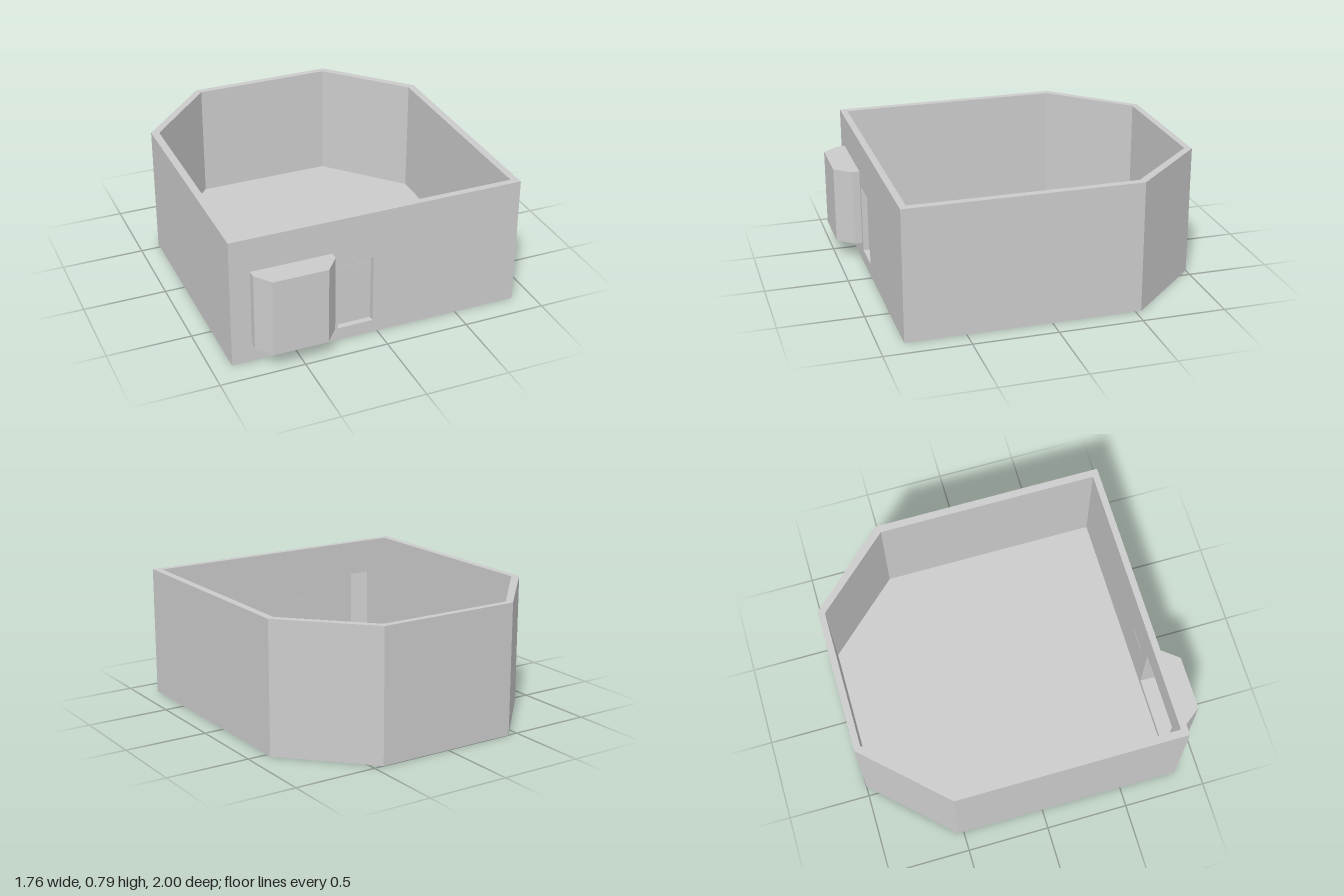
import * as THREE from 'three';

const material = new THREE.MeshStandardMaterial({ color: 0xcccccc, flatShading: true });

function add(group, name, geometry) {
  const mesh = new THREE.Mesh(geometry, material);
  mesh.name = name;
  group.add(mesh);
  return mesh;
}

// Upright prism from a plan outline of [x, z] points
function prism(plan, y0, y1) {
  const shape = new THREE.Shape(plan.map(([x, z]) => new THREE.Vector2(x, -z)));
  return new THREE.ExtrudeGeometry(shape, { depth: y1 - y0, bevelEnabled: false })
    .rotateX(-Math.PI / 2).translate(0, y0, 0);
}

function rect(target, x0, x1, y0, y1) {
  target.moveTo(x0, y0).lineTo(x1, y0).lineTo(x1, y1).lineTo(x0, y1).closePath();
  return target;
}

function box(x0, x1, y0, y1, z0, z1) {
  return new THREE.BoxGeometry(x1 - x0, y1 - y0, z1 - z0)
    .translate((x0 + x1) / 2, (y0 + y1) / 2, (z0 + z1) / 2);
}

export function createModel() {
  const model = new THREE.Group();
  model.name = 'room';
  const height = 0.79, floorTop = 0.08, front = 0.855, frontInner = 0.815;

  // Side and back walls, with the two back corners cut off
  const outer = [[0.88, frontInner], [0.88, -0.535], [0.44, -1], [-0.44, -1], [-0.88, -0.535], [-0.88, frontInner]];
  const inner = [[-0.835, frontInner], [-0.835, -0.515], [-0.42, -0.96], [0.42, -0.96], [0.835, -0.515], [0.835, frontInner]];
  add(model, 'sideAndBackWalls', prism([...outer, ...inner], 0, height));
  add(model, 'floor', prism(inner, 0, floorTop));

  // Front wall with openings for the door and the bay window
  const wall = rect(new THREE.Shape(), -0.88, 0.88, 0, height);
  wall.holes.push(
    rect(new THREE.Path(), -0.245, -0.03, floorTop, 0.5),
    rect(new THREE.Path(), -0.75, -0.29, 0.125, 0.575)
  );
  add(model, 'frontWall', new THREE.ExtrudeGeometry(wall, { depth: front - frontInner, bevelEnabled: false })
    .translate(0, 0, frontInner));

  // Door set back in its opening, with an upper panel
  const door = new THREE.Group();
  door.name = 'door';
  add(door, 'doorLeaf', box(-0.245, -0.03, floorTop, 0.5, frontInner, 0.82));
  add(door, 'doorPanel', box(-0.207, -0.06, 0.3, 0.46, frontInner - 0.002, 0.822));
  model.add(door);

  // Hollow bay window, open towards the room
  const bay = new THREE.Group();
  bay.name = 'bayWindow';
  const bayOuter = [[-0.76, front], [-0.76, 0.9], [-0.685, 1], [-0.36, 1], [-0.28, 0.9], [-0.28, front]];
  const bayInner = [[-0.29, front], [-0.29, 0.897], [-0.365, 0.99], [-0.68, 0.99], [-0.75, 0.897], [-0.75, front]];
  add(bay, 'bayWalls', prism([...bayOuter, ...bayInner], 0.115, 0.585));
  add(bay, 'baySill', prism(bayInner, 0.115, 0.125));
  add(bay, 'bayRoof', prism(bayInner, 0.575, 0.585));
  model.add(bay);

  return model;
}
